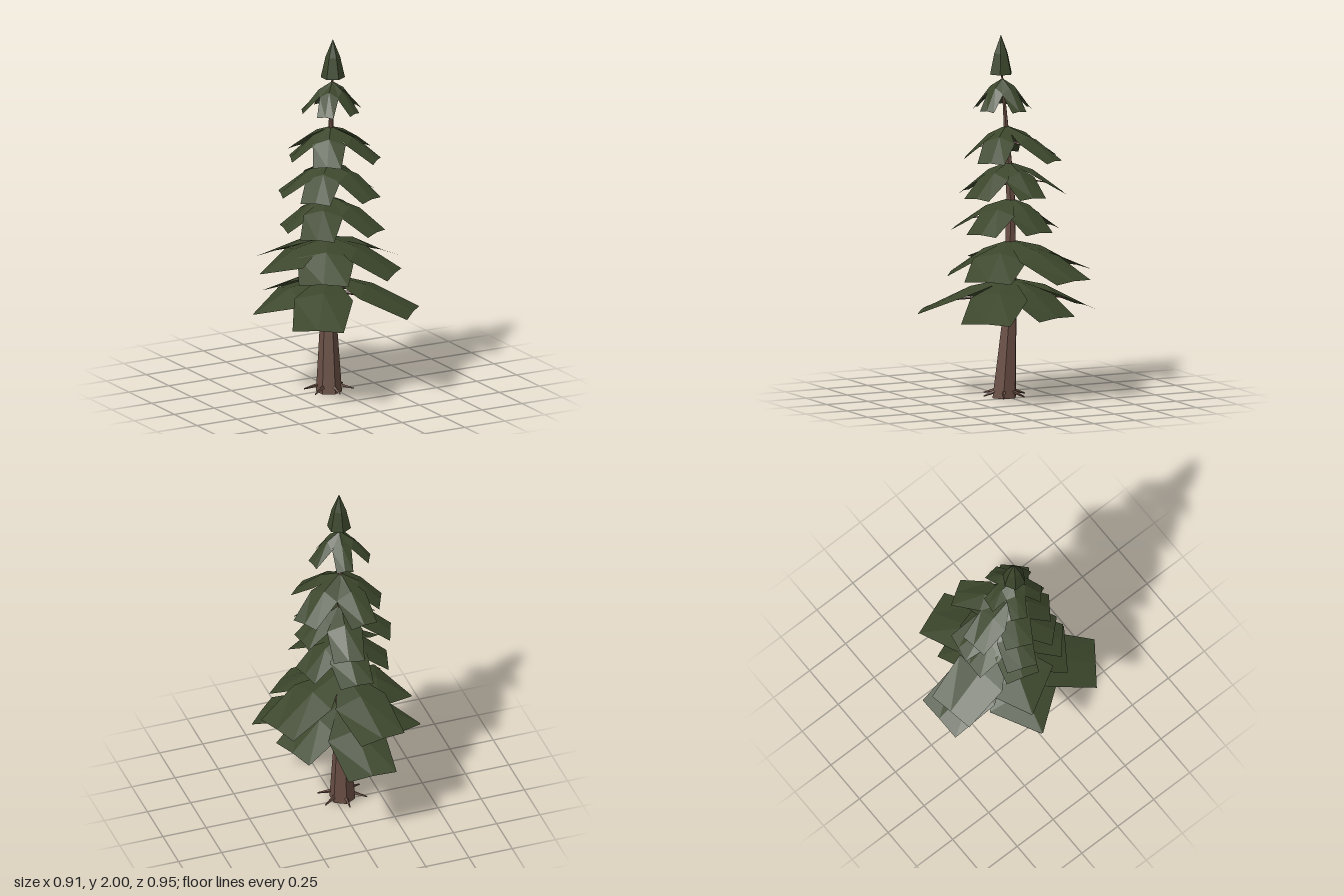
import * as THREE from 'three';

const bark = new THREE.MeshStandardMaterial({ color: 0x694e44, flatShading: true });
bark.name = 'bark brown';
const needles = new THREE.MeshStandardMaterial({ color: 0x3b462b, flatShading: true, side: THREE.DoubleSide });
needles.name = 'needle green';

// Trunk sections: centre x, y, centre z, radius
const trunkPath = [
  [-0.045, 0, 0.022, 0.071], [-0.035, 0.4, -0.002, 0.045], [-0.032, 0.7, -0.01, 0.035],
  [-0.03, 1.1, -0.01, 0.026], [-0.03, 1.4, 0.01, 0.017], [-0.032, 1.65, 0.03, 0.009], [-0.035, 1.83, 0.045, 0.004],
];

// Branch blade outlines from root to tip: fraction of reach, ridge drop, edge drop, width
const square = [[0, 0, 0.03, 0.15], [0.45, 0.27, 0.45, 1.15], [1, 0.96, 1, 1]];
const pointed = [[0, 0, 0.03, 0.15], [0.5, 0.32, 0.6, 1.5], [1, 1, 1, 0.04]];

// Branch tiers: apex y, drop, blade half width, then [angle in degrees from +x towards +z, reach, outline]
const tiers = [
  { y: 0.66, drop: 0.195, half: 0.14, blades: [[-20, 0.35], [43, 0.475], [126, 0.49], [191, 0.43, pointed], [269, 0.47]] },
  { y: 0.87, drop: 0.19, half: 0.135, blades: [[-21, 0.465], [46, 0.375], [124, 0.33], [196, 0.38, pointed], [260, 0.45]] },
  { y: 1.1, drop: 0.175, half: 0.095, blades: [[-14, 0.24], [59, 0.3], [131, 0.31], [196, 0.25], [270, 0.25]] },
  { y: 1.3, drop: 0.18, half: 0.085, blades: [[-7, 0.24], [65, 0.28], [137, 0.26], [201, 0.27], [281, 0.3]] },
  { y: 1.5, drop: 0.18, half: 0.078, blades: [[-32, 0.31], [45, 0.26], [125, 0.22], [204, 0.22], [262, 0.285]] },
  { y: 1.76, drop: 0.17, half: 0.046, blades: [[-8, 0.165], [62, 0.145], [134, 0.155], [206, 0.165], [278, 0.155]] },
];

function mesh(geometry, material, name) {
  const m = new THREE.Mesh(geometry, material);
  m.name = name;
  return m;
}

// Point on the leaning trunk axis at a given height
function trunkCentre(y) {
  let i = 0;
  while (i < trunkPath.length - 2 && trunkPath[i + 1][1] < y) i++;
  const a = trunkPath[i], b = trunkPath[i + 1], t = (y - a[1]) / (b[1] - a[1]);
  return new THREE.Vector3(a[0] + (b[0] - a[0]) * t, y, a[2] + (b[2] - a[2]) * t);
}

// Six-sided trunk bent along its sections
function makeTrunk() {
  const rows = trunkPath.length - 1;
  const g = new THREE.CylinderGeometry(1, 1, rows, 6, rows);
  const p = g.attributes.position;
  for (let i = 0; i < p.count; i++) {
    const [cx, cy, cz, r] = trunkPath[Math.round(p.getY(i) + rows / 2)];
    p.setXYZ(i, cx + p.getX(i) * r, cy, cz + p.getZ(i) * r);
  }
  g.computeVertexNormals();
  return mesh(g, bark, 'trunk');
}

// Thin tapered stick between two points
function spike(from, to, radius, name) {
  const dir = to.clone().sub(from);
  const m = mesh(new THREE.CylinderGeometry(radius * 0.25, radius, dir.length(), 4), bark, name);
  m.position.copy(from).addScaledVector(dir, 0.5);
  m.quaternion.setFromUnitVectors(new THREE.Vector3(0, 1, 0), dir.normalize());
  return m;
}

// Drooping blade running along +x, folded along its middle ridge
function bladeGeometry(reach, drop, half, outline) {
  const points = [], index = [];
  outline.forEach(([t, ridge, edge, w], r) => {
    for (const s of [-1, 0, 1]) points.push(reach * t, -drop * (s ? edge : ridge), s * half * w);
    if (!r) return;
    for (let c = 0; c < 2; c++) {
      const a = (r - 1) * 3 + c, b = a + 3;
      index.push(a, a + 1, b, a + 1, b + 1, b);
    }
  });
  const g = new THREE.BufferGeometry();
  g.setAttribute('position', new THREE.Float32BufferAttribute(points, 3));
  g.setIndex(index);
  g.computeVertexNormals();
  return g;
}

function makeTier({ y, drop, half, blades }) {
  const tier = new THREE.Group();
  tier.name = 'branchTier';
  tier.position.copy(trunkCentre(y));
  for (const [angle, reach, outline = square] of blades) {
    const branch = new THREE.Group();
    branch.name = 'branch';
    branch.rotation.y = -THREE.MathUtils.degToRad(angle);
    branch.add(mesh(bladeGeometry(reach, drop, half, outline), needles, 'needleBlade'));
    // Twig hidden beneath the blade
    branch.add(spike(new THREE.Vector3(0, -drop * 0.45, 0),
      new THREE.Vector3(reach * 0.75, -drop * 0.7, 0), half * 0.09, 'twig'));
    tier.add(branch);
  }
  return tier;
}

export function createModel() {
  const tree = new THREE.Group();
  tree.name = 'pineTree';
  tree.add(makeTrunk());

  // Roots poking out around the foot
  for (let i = 0; i < 6; i++) {
    const a = (i + 0.5) * Math.PI / 3, c = Math.cos(a), s = Math.sin(a);
    tree.add(spike(new THREE.Vector3(-0.045 + c * 0.03, 0.045, 0.022 + s * 0.03),
      new THREE.Vector3(-0.045 + c * 0.14, 0.015, 0.022 + s * 0.125), 0.014, 'root'));
  }

  for (const t of tiers) tree.add(makeTier(t));

  // Pointed crown
  const profile = [[0, 0.012], [0.066, 0], [0.04, 0.115], [0, 0.215]].map(([r, h]) => new THREE.Vector2(r, h));
  const crown = mesh(new THREE.LatheGeometry(profile, 6), needles, 'crown');
  crown.position.set(-0.035, 1.785, 0.047);
  tree.add(crown);
  return tree;
}
